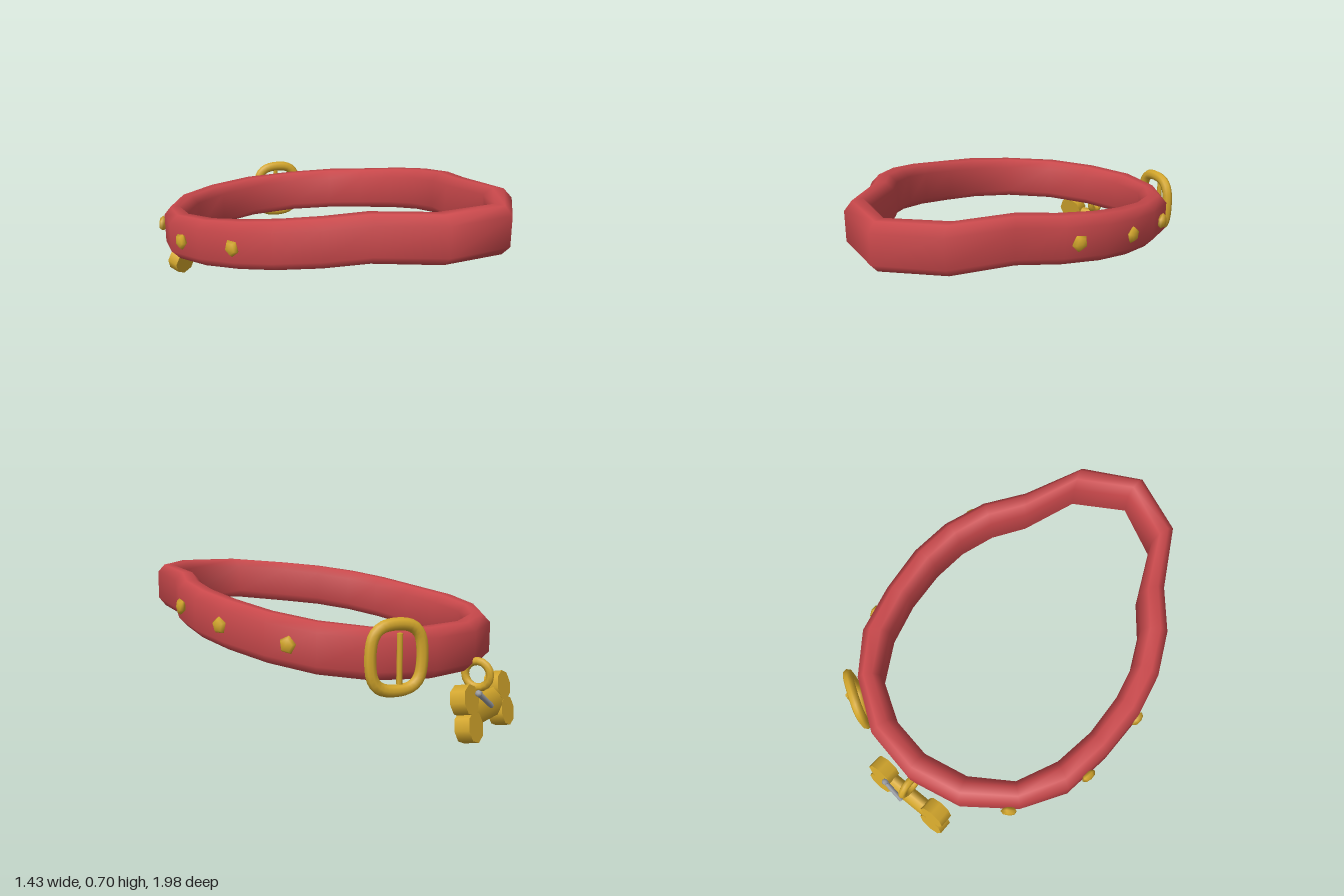
import * as THREE from 'three';

const mat = (name, color, extra = {}) => {
  const m = new THREE.MeshStandardMaterial({ color, ...extra });
  m.name = name;
  return m;
};

export function createModel() {
  const red = mat('red leather', 0xc9484b);
  const gold = mat('gold metal', 0xd4a72c);
  const grey = mat('grey metal', 0x9a9ca4);
  const root = new THREE.Group();
  root.name = 'collar';

  const add = (parent, name, geo, material, x = 0, y = 0, z = 0) => {
    const m = new THREE.Mesh(geo, material);
    m.name = name;
    m.position.set(x, y, z);
    parent.add(m);
    return m;
  };

  // Band: stations from back to front as outer x, outer z, inner x, inner z, height
  const half = [
    [0, -0.88, 0, -0.75, 0.392], [0.265, -0.83, 0.225, -0.71, 0.397],
    [0.5, -0.665, 0.42, -0.59, 0.408], [0.635, -0.47, 0.52, -0.4, 0.43],
    [0.68, -0.23, 0.56, -0.2, 0.458], [0.69, 0, 0.56, 0, 0.493],
    [0.655, 0.2, 0.53, 0.17, 0.522], [0.565, 0.4, 0.46, 0.33, 0.548],
    [0.425, 0.57, 0.35, 0.47, 0.568], [0.28, 0.855, 0.24, 0.73, 0.585],
    [0, 0.99, 0, 0.865, 0.587],
  ];
  const mirrored = half.slice(1, -1).reverse().map(([a, b, c, d, e]) => [-a, b, -c, d, e]);
  const stations = [...half, ...mirrored];
  // Cross-section: outward fraction and height
  const section = [
    [1, -0.07], [1, 0.07], [0.4, 0.11], [-0.4, 0.11],
    [-1, 0.07], [-1, -0.07], [-0.4, -0.11], [0.4, -0.11],
  ];
  const pos = [], index = [], n = section.length, count = stations.length;
  stations.forEach(([ox, oz, ix, iz, y], i) => {
    section.forEach(([u, v], j) => {
      pos.push((ox + ix + u * (ox - ix)) / 2, y + v, (oz + iz + u * (oz - iz)) / 2);
      const k = (j + 1) % n, r = i * n, s = ((i + 1) % count) * n;
      index.push(r + j, r + k, s + j, r + k, s + k, s + j);
    });
  });
  const bandGeo = new THREE.BufferGeometry();
  bandGeo.setAttribute('position', new THREE.Float32BufferAttribute(pos, 3));
  bandGeo.setIndex(index);
  bandGeo.computeVertexNormals();
  add(root, 'band', bandGeo, red);

  // Studs: position and outward direction in plan
  const studGeo = new THREE.SphereGeometry(0.041, 5, 4).scale(1, 0.5, 1);
  const up = new THREE.Vector3(0, 1, 0);
  [
    [0.605, 0.542, 0.345, 0.9, 0.43], [0.692, 0.495, 0.015, 1, 0.03], [0.672, 0.445, -0.35, 0.98, -0.19],
    [-0.475, 0.415, -0.71, -0.6, -0.8], [-0.67, 0.445, -0.355, -0.98, -0.19], [-0.693, 0.493, 0, -1, 0],
  ].forEach(([x, y, z, nx, nz]) => {
    const stud = add(root, 'stud', studGeo, gold, x, y, z);
    stud.quaternion.setFromUnitVectors(up, new THREE.Vector3(nx, 0, nz).normalize());
  });

  // Buckle: rounded rectangular frame with a prong
  const buckle = new THREE.Group();
  buckle.name = 'buckle';
  buckle.position.set(0.45, 0.403, -0.742);
  buckle.rotation.y = Math.atan2(0.53, -0.85);
  root.add(buckle);
  const w = 0.108, h = 0.13, c = 0.045;
  const corners = [
    [w, -h + c], [w, h - c], [w - c, h], [-w + c, h],
    [-w, h - c], [-w, -h + c], [-w + c, -h], [w - c, -h],
  ].map(([x, y]) => new THREE.Vector3(x, y, 0));
  const frameCurve = new THREE.CatmullRomCurve3(corners, true, 'centripetal');
  add(buckle, 'buckleFrame', new THREE.TubeGeometry(frameCurve, 40, 0.027, 8, true), gold).scale.z = 0.9;
  add(buckle, 'buckleProng', new THREE.CylinderGeometry(0.013, 0.013, 0.21, 8), gold, 0, 0, 0.026);

  // Ring that holds the tag
  const ring = add(root, 'tagRing', new THREE.TorusGeometry(0.06, 0.019, 8, 16), gold, 0, 0.272, -0.895);
  ring.rotation.y = Math.PI / 2;

  // Bone tag, leaning outward at the bottom
  const tag = new THREE.Group();
  tag.name = 'boneTag';
  tag.position.set(0, 0.133, -0.929);
  tag.rotation.x = 0.21;
  root.add(tag);
  const lobeGeo = new THREE.CylinderGeometry(0.069, 0.069, 0.07, 8).rotateX(Math.PI / 2);
  for (const sx of [-1, 1]) {
    for (const sy of [-1, 1]) add(tag, 'boneLobe', lobeGeo, gold, sx * 0.17, sy * 0.059, 0);
  }
  const shaftGeo = new THREE.CylinderGeometry(0.068, 0.068, 0.32, 8, 1, false, Math.PI / 8)
    .rotateZ(Math.PI / 2).scale(1, 1, 0.54);
  add(tag, 'boneShaft', shaftGeo, gold);

  // Small clip on the back of the tag
  const clip = new THREE.Group();
  clip.name = 'clip';
  clip.position.set(0.07, 0.04, -0.046);
  clip.rotation.z = -0.95;
  tag.add(clip);
  add(clip, 'clipBar', new THREE.CylinderGeometry(0.012, 0.012, 0.135, 6), grey);
  add(clip, 'clipKnob', new THREE.SphereGeometry(0.017, 6, 5), grey, 0, 0.062, 0);

  return root;
}
